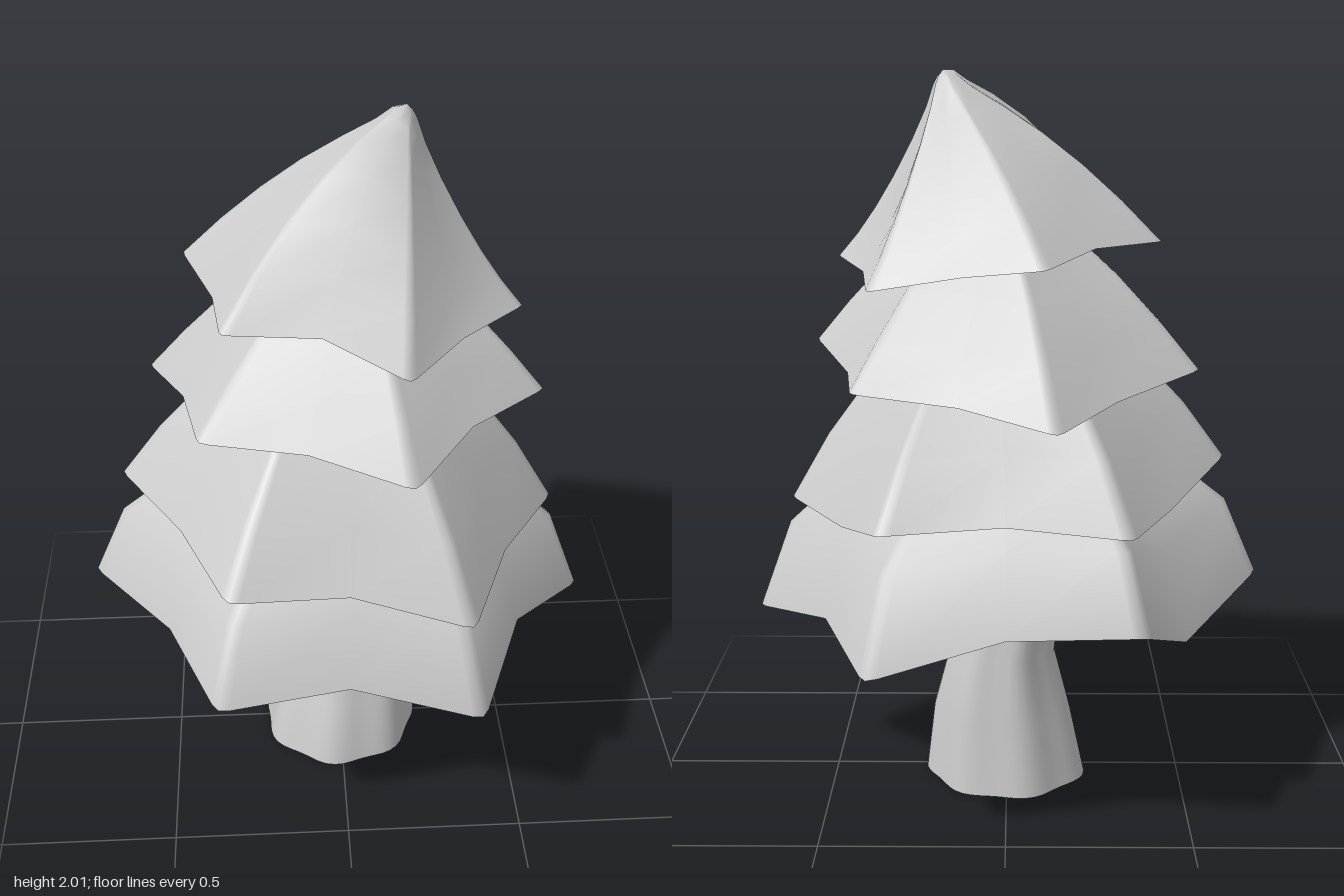
import * as THREE from 'three';
import { toCreasedNormals } from 'three/addons/utils/BufferGeometryUtils.js';

const lerp = THREE.MathUtils.lerp;

// Skin a stack of closed rings (arrays of [x, y, z], each running +x towards +z).
function loft(rings) {
  const n = rings[0].length, pos = rings.flat(2), index = [];
  for (let r = 0; r < rings.length - 1; r++) {
    for (let i = 0; i < n; i++) {
      const a = r * n + i, b = r * n + (i + 1) % n;
      index.push(a, a + n, b, b, a + n, b + n);
    }
  }
  // Close the top with a slightly raised centre point
  const last = rings[rings.length - 1], base = (rings.length - 1) * n;
  const mid = [0, 1, 2].map((k) => last.reduce((s, p) => s + p[k], 0) / n);
  pos.push(mid[0], mid[1] + 0.005, mid[2]);
  for (let i = 0; i < n; i++) index.push(base + i, rings.length * n, base + (i + 1) % n);
  const g = new THREE.BufferGeometry();
  g.setAttribute('position', new THREE.Float32BufferAttribute(pos, 3));
  g.setIndex(index);
  return toCreasedNormals(g, 1.0);
}

// Rim corners alternate tip, valley; each tip is rounded off between two close neighbours.
function softenTips(rim) {
  const out = [];
  rim.forEach((p, i) => {
    if (i % 2) { out.push(p); return; }
    const prev = rim[(i + rim.length - 1) % rim.length], next = rim[i + 1];
    const a = p.map((v, k) => lerp(v, prev[k], 0.1)), b = p.map((v, k) => lerp(v, next[k], 0.1));
    out.push(a, p.map((v, k) => lerp(v, (a[k] + b[k]) / 2, 0.4)), b);
  });
  return out;
}

// A skirt of foliage drawn in towards its apex: levels are [height fraction, scale].
// bulge(dx, dz) raises or lowers the slope that faces a direction.
function tier(rim, [ax, ay, az], levels, bulge = () => 0) {
  const soft = softenTips(rim);
  return loft(levels.map(([t, s]) => soft.map(([x, y, z]) => {
    const r = Math.hypot(x, z);
    return [lerp(ax, x, s), lerp(y, ay, t) + 4 * s * (1 - s) * bulge(x / r, z / r), lerp(az, z, s)];
  })));
}

export function createModel() {
  const group = new THREE.Group();
  const grey = new THREE.MeshStandardMaterial({ color: 0xcccccc, side: THREE.DoubleSide });
  grey.name = 'light grey';
  const add = (name, geometry) => {
    const mesh = new THREE.Mesh(geometry, grey);
    mesh.name = name;
    group.add(mesh);
  };

  // Bent, fluted trunk with a waist and a flared top, open at the base
  add('trunk', loft([
    [0, 0.228, 0, 0], [0.2, 0.195, 0.01, -0.008], [0.39, 0.148, 0.01, -0.04],
    [0.5, 0.133, -0.015, -0.04], [0.6, 0.133, -0.04, -0.04], [0.76, 0.155, -0.045, -0.04], [0.95, 0.185, -0.035, -0.03],
  ].map(([y, r, cx, cz]) => Array.from({ length: 56 }, (_, i) => {
    const a = (i / 56) * Math.PI * 2, rr = r * (1 + 0.035 * Math.cos(7 * (a - 1.72)));
    return [cx + rr * Math.cos(a), y, cz + rr * Math.sin(a)];
  }))));

  // Four drooping star-shaped tiers, tips and valleys starting at the right-hand (-x) tip
  add('bottomTier', tier([
    [-0.72, 0.61, 0], [-0.49, 0.495, -0.28], [-0.355, 0.64, -0.625], [0, 0.61, -0.57],
    [0.355, 0.52, -0.625], [0.49, 0.56, -0.28], [0.72, 0.495, 0], [0.49, 0.59, 0.28],
    [0.355, 0.54, 0.625], [0, 0.615, 0.57], [-0.355, 0.6, 0.625], [-0.49, 0.6, 0.28],
  ], [0, 1.2, 0], [[0, 1], [0.36, 0.87], [0.52, 0.7], [0.76, 0.42], [1, 0.1]]));

  add('lowerMiddleTier', tier([
    [-0.615, 0.95, 0], [-0.44, 0.87, -0.28], [-0.315, 0.89, -0.615], [0, 0.9, -0.54],
    [0.315, 0.9, -0.615], [0.44, 0.82, -0.28], [0.615, 0.825, 0], [0.44, 0.84, 0.28],
    [0.315, 0.845, 0.615], [0, 0.91, 0.55], [-0.315, 0.955, 0.615], [-0.44, 0.94, 0.28],
  ], [0.02, 1.56, 0], [[0, 1], [0.25, 0.82], [0.5, 0.59], [0.76, 0.32], [1, 0.06]]));

  add('upperMiddleTier', tier([
    [-0.525, 1.22, -0.13], [-0.29, 1.17, -0.31], [-0.13, 1.135, -0.54], [0.12, 1.18, -0.43],
    [0.395, 1.21, -0.405], [0.43, 1.21, -0.13], [0.545, 1.26, 0.125], [0.33, 1.25, 0.29],
    [0.16, 1.23, 0.54], [-0.1, 1.27, 0.43], [-0.375, 1.285, 0.385], [-0.42, 1.27, 0.13],
  ], [0.03, 1.76, 0], [[0, 1], [0.22, 0.82], [0.45, 0.61], [0.7, 0.34], [1, 0.06]]));

  // Leaning top: hollow on the side it leans to, full on the others, with a blunt peak
  add('topTier', tier([
    [-0.415, 1.565, -0.13], [-0.23, 1.56, -0.25], [-0.1, 1.53, -0.455], [0.11, 1.5, -0.36],
    [0.355, 1.46, -0.34], [0.385, 1.48, -0.1], [0.475, 1.5, 0.1], [0.3, 1.49, 0.25],
    [0.15, 1.48, 0.445], [-0.06, 1.55, 0.34], [-0.31, 1.555, 0.32], [-0.33, 1.56, 0.13],
  ], [0.175, 1.995, -0.025], [
    [0, 1], [0.18, 0.82], [0.36, 0.64], [0.54, 0.46], [0.72, 0.28], [0.87, 0.14], [0.97, 0.07], [1, 0.03],
  ], (dx, dz) => -0.055 * dx + 0.03 * dz + 0.055 * dz * dz));

  return group;
}
